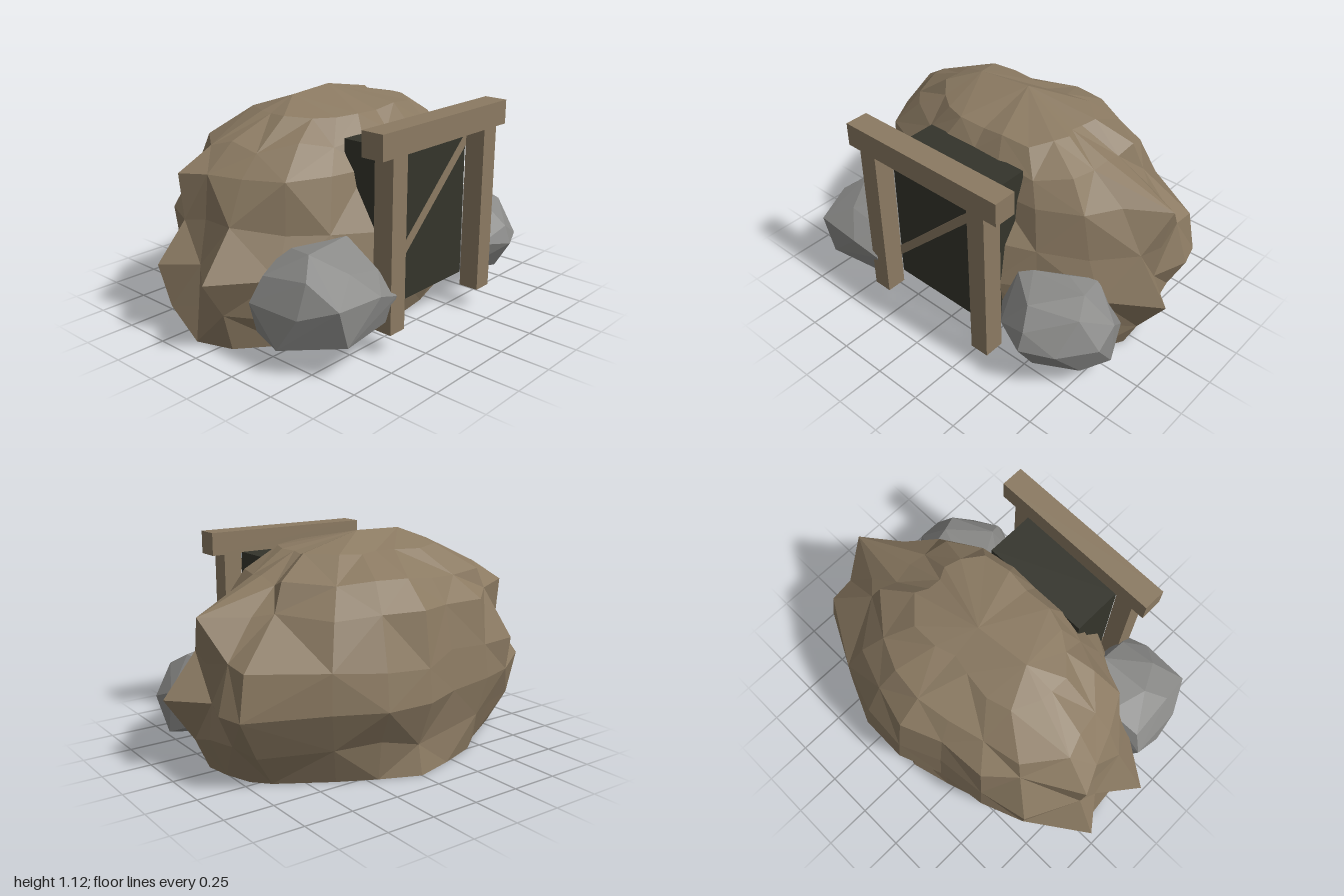
import * as THREE from 'three';
import { ConvexGeometry } from 'three/addons/geometries/ConvexGeometry.js';

const mat = (name, color) => {
  const m = new THREE.MeshStandardMaterial({ color });
  m.name = name;
  return m;
};

function seeded(s) {
  return () => {
    s = (s * 16807) % 2147483647;
    return s / 2147483647;
  };
}

// heights of the mound's rings
const HEIGHTS = [0, 0.18, 0.38, 0.57, 0.8, 0.93, 1.04];
// compass directions of its profiles in degrees, from +x towards +z
const ANGLES = [-172, -164, -145, -130, -110, -90, -70, -50, -25, -17, -6, 4, 18, 38, 62, 90, 122, 143, 160, 176];
// reach of each profile at those heights
const PROFILES = [
  [0.9, 0.88, 0.86, 0.82, 0.8, 0.66, 0.44],
  [0.85, 0.96, 1.015, 0.87, 0.89, 0.72, 0.45], // left back crag
  [0.68, 0.76, 0.84, 0.86, 0.71, 0.67, 0.45],
  [0.65, 0.69, 0.74, 0.72, 0.69, 0.55, 0.38],
  [0.61, 0.6, 0.64, 0.62, 0.58, 0.5, 0.29],
  [0.63, 0.6, 0.69, 0.67, 0.63, 0.5, 0.25], // back
  [0.58, 0.62, 0.73, 0.7, 0.61, 0.51, 0.3],
  [0.59, 0.67, 0.76, 0.75, 0.65, 0.53, 0.37],
  [0.7, 0.82, 0.94, 0.9, 0.65, 0.59, 0.4],
  [0.74, 0.85, 0.93, 0.86, 0.7, 0.54, 0.35],
  [0.76, 0.85, 0.83, 0.85, 0.895, 0.53, 0.33], // upper crag
  [0.78, 0.85, 1.0, 0.83, 0.7, 0.52, 0.36], // side crag
  [0.72, 0.74, 0.78, 0.68, 0.62, 0.52, 0.35],
  [0.5, 0.56, 0.58, 0.54, 0.5, 0.44, 0.34],
  [0.42, 0.5, 0.53, 0.5, 0.38, 0.33, 0.26],
  [0.4, 0.46, 0.47, 0.46, 0.33, 0.29, 0.22], // front
  [0.42, 0.56, 0.6, 0.56, 0.42, 0.35, 0.27],
  [0.46, 0.62, 0.66, 0.6, 0.52, 0.42, 0.32],
  [0.66, 0.74, 0.77, 0.68, 0.67, 0.52, 0.37],
  [0.83, 0.88, 1.0, 0.82, 0.73, 0.63, 0.44], // opposite side crag
];

function moundGeometry() {
  const rand = seeded(4217);
  const N = ANGLES.length;
  const last = HEIGHTS.length - 1;
  const pts = [];
  HEIGHTS.forEach((y, j) => {
    const rough = [0, 0.07, 0.02, 0.07, 0.03, 0.05, 0.02][j];
    ANGLES.forEach((deg, i) => {
      const a = THREE.MathUtils.degToRad(deg);
      const r = PROFILES[i][j];
      pts.push(new THREE.Vector3(r * Math.cos(a), y + (rand() - 0.5) * rough, r * Math.sin(a)));
    });
  });

  const idx = [];
  const at = (j, i) => j * N + (i % N);
  for (let j = 0; j < last; j++) {
    for (let i = 0; i < N; i++) {
      const a = at(j, i), b = at(j, i + 1), c = at(j + 1, i), d = at(j + 1, i + 1);
      if ((i + j) % 2) idx.push(a, c, b, b, c, d);
      else idx.push(a, c, d, a, d, b);
    }
  }
  // flat underside and a short summit ridge
  const base = pts.push(new THREE.Vector3(0, 0, -0.1)) - 1;
  const peakL = pts.push(new THREE.Vector3(-0.28, 1.11, -0.07)) - 1;
  const peakR = pts.push(new THREE.Vector3(0, 1.12, -0.1)) - 1;
  const peak = (i) => (i % N <= 4 || i % N >= 16 ? peakL : peakR);
  for (let i = 0; i < N; i++) {
    idx.push(base, at(0, i), at(0, i + 1));
    idx.push(peak(i), at(last, i + 1), at(last, i));
    if (peak(i) !== peak(i + 1)) idx.push(peak(i), peak(i + 1), at(last, i + 1));
  }
  const g = new THREE.BufferGeometry().setFromPoints(pts);
  g.setIndex(idx);
  const flat = g.toNonIndexed();
  flat.computeVertexNormals();
  return flat;
}

// boulder: the hull of its corner points
const boulderGeometry = (corners) => new ConvexGeometry(corners.map((c) => new THREE.Vector3(...c)));

const LEFT_BOULDER = [
  [0.45, 0.51, 0.38], [0.73, 0.5, 0.35], [0.6, 0.51, 0.3], [0.55, 0.46, 0.54], [0.7, 0.48, 0.2],
  [0.39, 0.49, 0.42], [0.78, 0.44, 0.45], [0.59, 0.37, 0.62], [0.75, 0.38, 0.22],
  [0.86, 0.34, 0.28], [0.88, 0.29, 0.42], [0.75, 0.28, 0.58], [0.59, 0.28, 0.655],
  [0.42, 0.3, 0.58], [0.33, 0.3, 0.47], [0.45, 0.3, 0.18], [0.8, 0.2, 0.13],
  [0.87, 0.13, 0.3], [0.8, 0.13, 0.45], [0.6, 0.13, 0.56], [0.38, 0.15, 0.5], [0.4, 0.13, 0.2], [0.7, 0.13, 0.2],
];
const RIGHT_BOULDER = [
  [-0.68, 0.53, 0.42], [-0.41, 0.54, 0.4], [-0.45, 0.5, 0.25], [-0.62, 0.5, 0.22],
  [-0.78, 0.45, 0.5], [-0.6, 0.46, 0.59], [-0.4, 0.42, 0.58], [-0.8, 0.42, 0.25],
  [-0.85, 0.3, 0.51], [-0.76, 0.36, 0.675], [-0.5, 0.35, 0.685], [-0.36, 0.3, 0.66],
  [-0.86, 0.3, 0.22], [-0.45, 0.3, 0.15], [-0.34, 0.3, 0.4],
  [-0.87, 0.13, 0.4], [-0.7, 0.17, 0.67], [-0.36, 0.17, 0.62], [-0.5, 0.13, 0.55], [-0.45, 0.13, 0.2], [-0.8, 0.13, 0.2],
];

export function createModel() {
  const model = new THREE.Group();
  model.name = 'mineEntrance';
  const earth = mat('earth brown', 0x8b7a62);
  const stone = mat('stone grey', 0x8a8a88);
  const dark = mat('tunnel dark', 0x34342b);

  const add = (name, geo, material, x = 0, y = 0, z = 0) => {
    const m = new THREE.Mesh(geo, material);
    m.name = name;
    m.position.set(x, y, z);
    model.add(m);
  };

  add('mound', moundGeometry(), earth);
  add('leftBoulder', boulderGeometry(LEFT_BOULDER), stone);
  add('rightBoulder', boulderGeometry(RIGHT_BOULDER), stone);

  // tunnel mouth
  add('tunnel', new THREE.BoxGeometry(0.59, 0.775, 0.265), dark, 0, 0.5675, 0.4125);

  // timber frame
  for (const s of [1, -1]) {
    add(s > 0 ? 'leftPost' : 'rightPost', new THREE.BoxGeometry(0.1, 0.845, 0.105), earth, s * 0.345, 0.5325, 0.602);
  }
  add('lintel', new THREE.BoxGeometry(0.94, 0.12, 0.12), earth, 0, 1.01, 0.597);

  // diagonal brace lying on the tunnel face, its ends cut upright at the posts
  const brace = new THREE.Shape([
    new THREE.Vector2(-0.297, 0.288), new THREE.Vector2(0.297, 0.86),
    new THREE.Vector2(0.297, 0.92), new THREE.Vector2(-0.297, 0.348),
  ]);
  add('brace', new THREE.ExtrudeGeometry(brace, { depth: 0.008, bevelEnabled: false }), earth, 0, 0, 0.543);

  return model;
}
